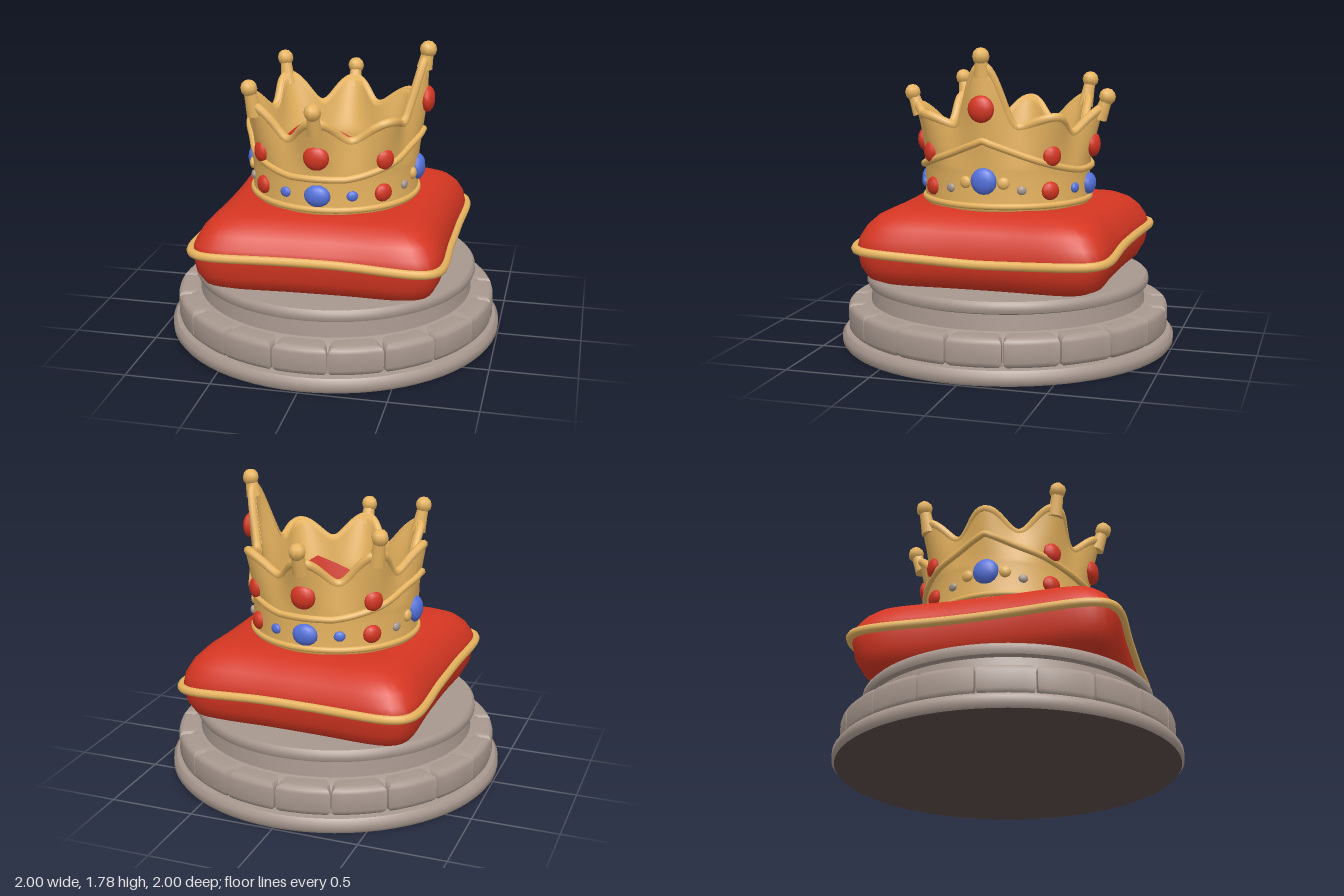
import * as THREE from 'three';
import { toCreasedNormals } from 'three/addons/utils/BufferGeometryUtils.js';

const mat = (name, color) => Object.assign(new THREE.MeshStandardMaterial({ color }), { name });
const TAU = Math.PI * 2;
const SIDES = 128;

// Crown outline: one point every 45 degrees, starting at the tall one on +x
const peaks = [1.69, 1.40, 1.42, 1.46, 1.43, 1.46, 1.42, 1.40];
const valleys = [1.34, 1.29, 1.28, 1.30, 1.30, 1.28, 1.29, 1.34];
const flares = [0.05, 0.08, 0.09, 0.075, 0.06, 0.075, 0.09, 0.08];

function outline(angle) {
  const u = (((angle / TAU) * 8) % 8 + 8) % 8;
  const k = Math.round(u) % 8;
  const w = 1 - 2 * Math.abs(u - Math.round(u));
  const ease = 0.5 - 0.5 * Math.cos(Math.PI * w);
  const valley = valleys[Math.floor(u)];
  return { top: valley + (peaks[k] - valley) * ease, ease, flare: flares[k] };
}

function crownRadius(angle, y) {
  const { ease, flare } = outline(angle);
  const s = THREE.MathUtils.clamp((y - 1.1) / 0.35, 0, 1);
  return 0.495 + s * (flare * ease - 0.02 * (1 - ease));
}

// Joins closed rings into a smooth skin; at(angle, row) gives [radius, y]
function loft(rows, at) {
  const pos = [], index = [];
  for (let j = 0; j < rows; j++) {
    for (let i = 0; i < SIDES; i++) {
      const a = (i / SIDES) * TAU;
      const [r, y] = at(a, j);
      pos.push(r * Math.cos(a), y, r * Math.sin(a));
      if (j === rows - 1) continue;
      const n = (i + 1) % SIDES;
      const p = j * SIDES + i, q = j * SIDES + n;
      index.push(p, p + SIDES, q + SIDES, p, q + SIDES, q);
    }
  }
  const g = new THREE.BufferGeometry();
  g.setAttribute('position', new THREE.Float32BufferAttribute(pos, 3));
  g.setIndex(index);
  g.computeVertexNormals();
  return g;
}

// Closed cord around the model; at(angle) gives [radius, y]
function cord(at, thickness) {
  const pts = [];
  for (let i = 0; i < 96; i++) {
    const a = (i / 96) * TAU;
    const [r, y] = at(a);
    pts.push(new THREE.Vector3(r * Math.cos(a), y, r * Math.sin(a)));
  }
  return new THREE.TubeGeometry(new THREE.CatmullRomCurve3(pts, true), 192, thickness, 8, true);
}

// Cushion outline: a rounded rectangle, slightly deeper on -x, with pulled corners
function cushionRadius(a) {
  const c = Math.abs(Math.cos(a)), s = Math.abs(Math.sin(a));
  const r = Math.pow(Math.pow(c / 0.705, 9) + Math.pow(s / (0.74 - 0.025 * Math.cos(a)), 9), -1 / 9);
  return r * (1 + 0.03 * Math.pow(Math.sin(2 * a), 4));
}
const seamY = (a) => 0.645 - 0.045 * Math.max(0, Math.cos(a)) ** 2 + 0.015 * Math.max(0, Math.sin(a));

export function createModel() {
  const stone = mat('stone', 0xa8988f);
  const darkStone = mat('dark stone', 0x5b4c47);
  const red = mat('red velvet', 0xd53622);
  const gold = mat('gold', 0xe9b560);
  const blue = mat('blue gem', 0x5471dc);

  const model = new THREE.Group();
  const add = (name, geometry, material, parent = model) => {
    const m = new THREE.Mesh(geometry, material);
    m.name = name;
    parent.add(m);
    return m;
  };

  // Pedestal core: foot disc, neck and top slab
  const profile = [[0.985, 0], [1, 0.02], [1, 0.06], [0.98, 0.085], [0.92, 0.09], [0.92, 0.215],
    [0.88, 0.245], [0.825, 0.26], [0.815, 0.35], [0.84, 0.36], [0.848, 0.38], [0.845, 0.41], [0.83, 0.425], [0, 0.425]];
  add('pedestal', toCreasedNormals(new THREE.LatheGeometry(
    profile.map(([x, y]) => new THREE.Vector2(x, y)), 72), 0.7), stone);
  add('pedestalUnderside', new THREE.CircleGeometry(0.985, 72).rotateX(Math.PI / 2), darkStone);

  // Ring of rounded stone blocks
  const blocks = new THREE.Group();
  blocks.name = 'stoneBlocks';
  model.add(blocks);
  const count = 19, half = Math.PI / count - 0.043;
  const wedge = new THREE.Shape();
  wedge.absarc(0, 0, 0.925, -half, half, false);
  wedge.absarc(0, 0, 0.83, half, -half, true);
  const block = toCreasedNormals(new THREE.ExtrudeGeometry(wedge, {
    depth: 0.1, bevelEnabled: true, bevelThickness: 0.035, bevelSize: 0.036, bevelSegments: 3, curveSegments: 5,
  }).rotateX(-Math.PI / 2).translate(0, 0.12, 0), 0.7);
  for (let i = 0; i < count; i++) {
    add('stoneBlock', block, stone, blocks).rotation.y = -Math.PI / 2 + (i / count) * TAU;
  }

  // Cushion: [scale of outline, height], null height marks the seam
  const section = [[0, 0.425], [0.6, 0.425], [0.84, 0.43], [0.92, 0.46], [0.97, 0.53], [0.995, null],
    [0.975, 0.70], [0.925, 0.765], [0.855, 0.815], [0.76, 0.848], [0.6, 0.862], [0.3, 0.85], [0, 0.845]];
  const cushion = new THREE.Group();
  cushion.name = 'cushion';
  cushion.position.x = 0.01;
  model.add(cushion);
  add('cushionBody', loft(section.length, (a, j) => {
    const [s, y] = section[j];
    return [s * cushionRadius(a), y ?? seamY(a)];
  }), red, cushion);
  add('cushionCord', cord((a) => [cushionRadius(a) + 0.003, seamY(a)], 0.026), gold, cushion);

  // Crown wall: up the outside, over the rim, down the inside
  const crown = new THREE.Group();
  crown.name = 'crown';
  model.add(crown);
  const foot = [[0.43, 0.845], [0.48, 0.845], [0.495, 0.87], [0.49, 0.9], [0.49, 1.04]];
  const steps = 10;
  add('crownWall', loft(foot.length + 2 * steps + 3, (a, j) => {
    if (j < foot.length) return foot[j];
    const k = j - foot.length;
    const { top } = outline(a);
    if (k > 2 * steps + 1) return [0.415, 0.845];
    const outside = k <= steps;
    const t = outside ? k / steps : (2 * steps + 1 - k) / steps;
    const y = 1.08 + (top - 1.08) * t;
    return [crownRadius(a, y) - (outside ? 0 : 0.075 - 0.03 * t), y];
  }), gold, crown);

  // Red lining, sloping in toward the floor and rising to four points
  add('crownLining', loft(6, (a, j) => {
    const t = 1 - j / 5;
    const fold = Math.abs(((a - 0.93 + TAU) % (TAU / 4)) / (TAU / 8) - 1);
    return [0.36 + 0.05 * t, 0.85 + (0.19 + 0.15 * fold) * t];
  }), red, crown);

  // Raised gold edging
  add('rimEdge', cord((a) => {
    const { top } = outline(a);
    return [crownRadius(a, top) - 0.02, top - 0.01];
  }, 0.026), gold, crown);
  add('beltRidge', cord((a) => {
    const y = 1.07 + 0.19 * Math.max(0, 1 - Math.abs(Math.sin(a)) / 0.95);
    return [crownRadius(a, y) + 0.004, y];
  }, 0.02), gold, crown);
  add('footRidge', cord(() => [0.49, 0.885], 0.018), gold, crown);

  // Places a child of the crown at an angle, facing outward
  const outward = (m, angle, r, y) => {
    m.position.set(r * Math.cos(angle), y, r * Math.sin(angle));
    m.rotation.y = Math.PI / 2 - angle;
  };

  // Knobs on stems: [point number, radius, height]
  const up = new THREE.Vector3(0, 1, 0);
  for (const [k, r, y] of [[0, 0.54, 1.73], [2, 0.6, 1.48], [3, 0.58, 1.55], [5, 0.58, 1.55], [6, 0.6, 1.48]]) {
    const a = (k / 8) * TAU;
    const knob = add('knob', new THREE.SphereGeometry(0.05, 8, 6), gold, crown);
    outward(knob, a, r, y);
    const rootRadius = crownRadius(a, peaks[k]) - 0.025;
    const root = new THREE.Vector3(rootRadius * Math.cos(a), peaks[k] - 0.07, rootRadius * Math.sin(a));
    const dir = knob.position.clone().sub(root);
    const stem = add('knobStem', new THREE.CylinderGeometry(0.032, 0.046, dir.length(), 12), gold, crown);
    stem.position.copy(root).addScaledVector(dir, 0.5);
    stem.quaternion.setFromUnitVectors(up, dir.normalize());
  }

  // Gems and beads: flattened domes set into the wall
  const gem = (deg, y, width, height, material, name = 'gem') => {
    const a = (deg / 180) * Math.PI;
    const m = add(name, new THREE.SphereGeometry(1, 12, 8), material, crown);
    outward(m, a, crownRadius(a, y), y);
    m.scale.set(width, height, 0.55 * width);
  };
  for (const side of [0, 180]) {
    gem(side, 1.03, 0.077, 0.077, blue);
    gem(side + 90, 1.2, 0.075, 0.072, red);
    gem(side + 90, 0.97, 0.077, 0.064, blue);
    for (const s of [-1, 1]) {
      gem(side + s * 45, 1.17, 0.058, 0.06, red);
      gem(side + s * 45, 0.97, 0.057, 0.053, red);
      gem(side + s * 67, 0.97, 0.034, 0.03, blue);
      gem(side + s * 25, 0.98, 0.028, 0.026, stone);
      gem(side + s * 13, 1.02, 0.035, 0.035, gold, 'goldBead');
    }
  }
  gem(0, 1.44, 0.077, 0.077, red);

  return model;
}
